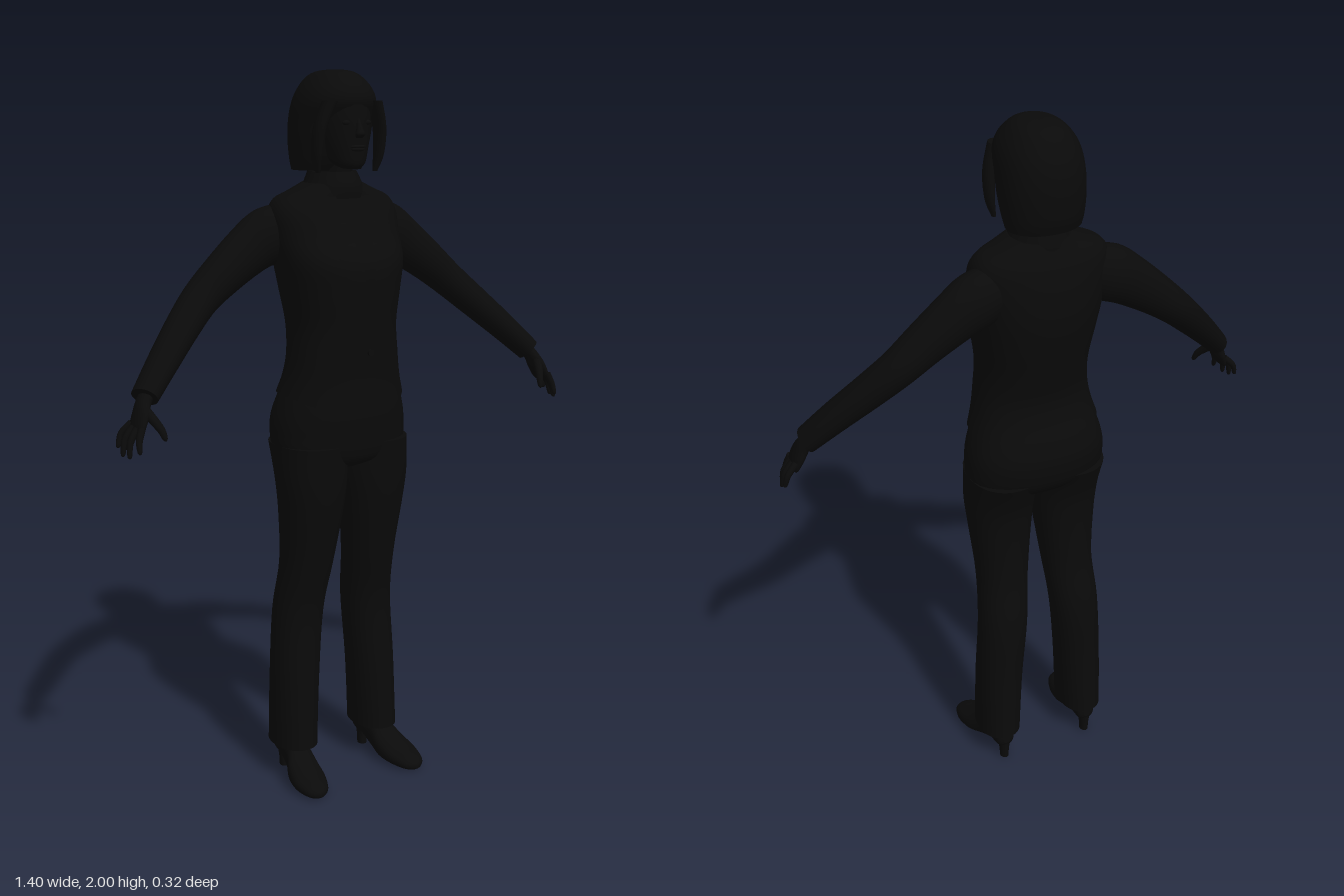
import * as THREE from 'three';

const black = new THREE.MeshStandardMaterial({ color: 0x0a0a0a, side: THREE.DoubleSide });
black.name = 'black';
const X = new THREE.Vector3(1, 0, 0), Y = new THREE.Vector3(0, 1, 0), Z = new THREE.Vector3(0, 0, 1);

// Catmull-Rom resampling of rows of numbers
function smooth(rows, k = 5) {
  const out = [], n = rows.length;
  for (let i = 0; i < n - 1; i++) {
    const [a, b, c, d] = [rows[Math.max(i - 1, 0)], rows[i], rows[i + 1], rows[Math.min(i + 2, n - 1)]];
    for (let s = 0; s < k; s++) {
      const t = s / k;
      out.push(b.map((v, j) => v + 0.5 * t * (c[j] - a[j] + t * (2 * a[j] - 5 * v + 4 * c[j] - d[j] + t * (3 * (v - c[j]) + d[j] - a[j])))));
    }
  }
  out.push(rows[n - 1]);
  return out;
}

// Capped skin over oval rings [x, y, z, radiusU, radiusV]; the axis is fixed or follows the path
function loft(name, rows, { axis = null, ref = Z, power = 2, seg = 32, bend = null } = {}) {
  const rings = smooth(rows), pos = [], idx = [], n = rings.length;
  const centre = r => new THREE.Vector3(r[0], r[1], r[2]);
  rings.forEach((r, i) => {
    const T = axis ? axis.clone() : centre(rings[Math.min(i + 1, n - 1)]).sub(centre(rings[Math.max(i - 1, 0)])).normalize();
    const V = ref.clone().addScaledVector(T, -ref.dot(T)).normalize(), U = T.clone().cross(V);
    for (let j = 0; j < seg; j++) {
      const a = j / seg * Math.PI * 2, e = 2 / power;
      const c = Math.sign(Math.cos(a)) * Math.abs(Math.cos(a)) ** e, s = Math.sign(Math.sin(a)) * Math.abs(Math.sin(a)) ** e;
      const p = centre(r).addScaledVector(U, c * r[3]).addScaledVector(V, s * r[4]);
      if (bend) bend(p, s, c);
      pos.push(p.x, p.y, p.z);
    }
  });
  for (let i = 0; i < n - 1; i++) for (let j = 0; j < seg; j++) {
    const a = i * seg + j, b = i * seg + (j + 1) % seg;
    idx.push(a, a + seg, b, b, a + seg, b + seg);
  }
  for (const end of [0, n - 1]) {
    const base = pos.length / 3, r = rings[end];
    pos.push(...pos.slice(end * seg * 3, (end + 1) * seg * 3), r[0], r[1], r[2]);
    for (let j = 0; j < seg; j++) {
      const a = base + j, b = base + (j + 1) % seg;
      end ? idx.push(base + seg, b, a) : idx.push(base + seg, a, b);
    }
  }
  return mesh(name, geometry(pos, idx));
}

function geometry(pos, idx) {
  const g = new THREE.BufferGeometry();
  g.setAttribute('position', new THREE.Float32BufferAttribute(pos, 3));
  g.setIndex(idx);
  g.computeVertexNormals();
  return g;
}

function mesh(name, g) {
  const m = new THREE.Mesh(g, black);
  m.name = name;
  return m;
}

// Upright ring from height, half width, front z and back z
const ring = ([y, w, f, b]) => [0, y, (f + b) / 2, w, (f - b) / 2];
const upright = (name, rows, opt = {}) => loft(name, rows.map(ring), { axis: Y, ...opt });

const JACKET = [[1.14, .182, .135, -.137], [1.19, .168, .132, -.118], [1.25, .158, .134, -.111], [1.33, .153, .138, -.127],
  [1.42, .166, .145, -.148], [1.5, .18, .143, -.16], [1.57, .188, .1, -.157], [1.63, .19, .067, -.146],
  [1.665, .17, .045, -.133], [1.685, .125, .04, -.125], [1.705, .08, .035, -.118]];
const jacketRings = smooth(JACKET.map(ring), 12);

// Front of the jacket at a given x and y
function chestZ(x, y) {
  const r = jacketRings.reduce((a, b) => Math.abs(b[1] - y) < Math.abs(a[1] - y) ? b : a);
  return r[2] + r[4] * Math.max(0, 1 - Math.abs(x / r[3]) ** 2.3) ** (1 / 2.3);
}

// Thin cloth panel laid on the chest from rows [y, inner x, outer x]
function panel(name, rows, s) {
  const pos = [], idx = [], m = 6, pts = smooth(rows, 5);
  pts.forEach(([y, a, b]) => {
    for (let j = 0; j <= m; j++) {
      const x = a + (b - a) * j / m;
      pos.push(s * x, y, chestZ(x, y) + .006);
    }
  });
  for (let i = 0; i < pts.length - 1; i++) for (let j = 0; j < m; j++) {
    const a = i * (m + 1) + j, c = a + m + 1;
    s > 0 ? idx.push(a, c, a + 1, a + 1, c, c + 1) : idx.push(a, a + 1, c, a + 1, c + 1, c);
  }
  return mesh(name, geometry(pos, idx));
}

function addHead(g) {
  g.add(upright('neck', [[1.64, .06, .03, -.105], [1.72, .052, .025, -.1], [1.8, .052, .035, -.1]]));
  g.add(upright('face', [[1.745, .02, .078, .03], [1.757, .042, .088, 0], [1.785, .057, .092, -.04], [1.83, .07, .094, -.07],
    [1.88, .074, .094, -.08], [1.93, .07, .088, -.08]]));
  // Bobbed hair, drawn back from the face below the fringe
  g.add(upright('hair', [[1.738, .1, .01, -.143], [1.77, .106, .03, -.155], [1.82, .111, .05, -.161], [1.87, .111, .068, -.161],
    [1.915, .107, .092, -.153], [1.95, .094, .085, -.137], [1.98, .07, .058, -.115], [1.995, .045, .03, -.085], [2, .015, 0, -.05]],
    { power: 2.15 }));
  g.add(loft('nose', [[0, 1.875, .09, .006, .005], [0, 1.85, .097, .009, .009], [0, 1.835, .1, .014, .011], [0, 1.825, .094, .009, .005]], { axis: Y, seg: 12 }));
  for (const [y, w, h] of [[1.803, .025, .005], [1.796, .021, .006]]) {
    const lip = mesh('lip', new THREE.SphereGeometry(1, 14, 8));
    lip.scale.set(w, h, .008);
    lip.position.set(0, y, .09);
    g.add(lip);
  }
  for (const s of [1, -1]) {
    const eye = mesh('eye', new THREE.SphereGeometry(1, 14, 8));
    eye.scale.set(.014, .007, .007);
    eye.position.set(s * .031, 1.865, .083);
    g.add(eye);
    g.add(loft('frontLock', [[s * .09, 1.735, .035, .006, .008], [s * .098, 1.78, .04, .012, .02], [s * .094, 1.85, .05, .016, .024],
      [s * .07, 1.92, .062, .02, .024]], { axis: Y, seg: 14 }));
  }
}

function addTorso(g) {
  // The jacket hem dips at the front
  g.add(upright('jacket', JACKET, { power: 2.3, seg: 48, bend: (p, s) => {
    if (s > 0 && p.y < 1.25) p.y -= .045 * s * s * (1.25 - p.y) / .11;
  } }));
  g.add(upright('jacketCollar', [[1.665, .1, .05, -.127], [1.7, .08, .05, -.123], [1.735, .064, .034, -.113]]));
  g.add(upright('hips', [[.925, .06, .05, -.06], [.95, .15, .1, -.1], [.985, .194, .115, -.13], [1.03, .2, .118, -.143],
    [1.08, .195, .121, -.145], [1.14, .176, .118, -.128], [1.2, .15, .1, -.1]], { power: 2.3 }));
  for (const s of [1, -1]) {
    g.add(panel('lapel', [[1.605, .034, .115], [1.55, .027, .098], [1.45, .014, .06], [1.36, .006, .026], [1.29, .003, .006]], s));
    g.add(panel('collarFlap', [[1.675, .042, .085], [1.645, .038, .105], [1.618, .035, .092]], s));
  }
  const button = mesh('button', new THREE.CylinderGeometry(.009, .009, .006, 16).rotateX(Math.PI / 2));
  button.position.set(.012, 1.26, chestZ(.012, 1.26) + .003);
  g.add(button);
}

function addLeg(g, s) {
  // Trouser rows: height, outer x, inner x, front z, back z
  const rows = [[.1, .2, .075, .046, -.125], [.3, .197, .063, .036, -.118], [.5, .187, .045, .03, -.115], [.65, .178, .03, .062, -.09],
    [.8, .188, .013, .095, -.085], [.9, .197, .003, .11, -.095], [1, .199, 0, .115, -.135]];
  g.add(loft('trouserLeg', rows.map(([y, o, i, f, b]) => [s * (o + i) / 2, y, (f + b) / 2, (o - i) / 2, (f - b) / 2]), { axis: Y, power: 2.2 }));
  // Shoe rows: z, centre x, half width, bottom, top
  const shoe = [[-.112, .138, .012, .065, .095], [-.1, .138, .028, .048, .11], [-.055, .14, .034, .042, .12], [0, .145, .039, .015, .11],
    [.045, .153, .05, .002, .076], [.095, .16, .05, 0, .053], [.14, .164, .036, .001, .037], [.158, .165, .018, .005, .026], [.163, .165, .004, .01, .018]];
  g.add(loft('shoe', shoe.map(([z, x, w, b, t]) => [s * x, (b + t) / 2, z, w, (t - b) / 2]), { axis: Z, ref: Y.clone().negate(), power: 2.3, seg: 24 }));
  g.add(loft('shoeHeel', [[s * .138, 0, -.09, .013, .016], [s * .138, .035, -.09, .015, .018], [s * .138, .075, -.085, .025, .026]], { axis: Y, seg: 16 }));
}

function addArm(g, s) {
  const side = rows => rows.map(([x, ...r]) => [s * x, ...r]);
  g.add(loft('sleeve', side([[.13, 1.585, -.065, .07, .055], [.19, 1.565, -.068, .078, .062], [.25, 1.53, -.068, .069, .059],
    [.33, 1.472, -.062, .058, .056], [.4, 1.415, -.053, .05, .053], [.47, 1.35, -.022, .045, .05], [.55, 1.272, .022, .039, .047],
    [.622, 1.198, .062, .033, .042]])));
  g.add(loft('palm', side([[.605, 1.215, .055, .017, .024], [.628, 1.185, .066, .018, .026], [.642, 1.155, .077, .017, .036],
    [.655, 1.125, .084, .013, .037], [.66, 1.112, .086, .008, .032]]), { seg: 20 }));
  // Fingers from knuckle to tip
  const fingers = [[.656, 1.13, .113, .668, 1.1, .122, .671, 1.075, .13], [.661, 1.128, .096, .682, 1.095, .1, .688, 1.062, .106],
    [.662, 1.13, .077, .686, 1.1, .077, .695, 1.064, .082], [.658, 1.135, .058, .684, 1.11, .05, .694, 1.08, .052]];
  for (const f of fingers) g.add(loft('finger', side([[...f.slice(0, 3), .01, .01], [...f.slice(3, 6), .0085, .0085],
    [...f.slice(6), .006, .006], [f[6] + .001, f[7] - .006, f[8], .002, .002]]), { seg: 12 }));
  g.add(loft('thumb', side([[.635, 1.17, .088, .014, .014], [.622, 1.145, .115, .012, .012], [.612, 1.125, .132, .01, .01],
    [.607, 1.105, .142, .007, .007], [.606, 1.098, .145, .002, .002]]), { ref: X, seg: 12 }));
}

export function createModel() {
  const model = new THREE.Group();
  model.name = 'standingWoman';
  const part = (name, build, ...args) => {
    const g = new THREE.Group();
    g.name = name;
    build(g, ...args);
    model.add(g);
  };
  part('head', addHead);
  part('torso', addTorso);
  for (const [name, s] of [['left', 1], ['right', -1]]) {
    part(name + 'Arm', addArm, s);
    part(name + 'Leg', addLeg, s);
  }
  return model;
}
